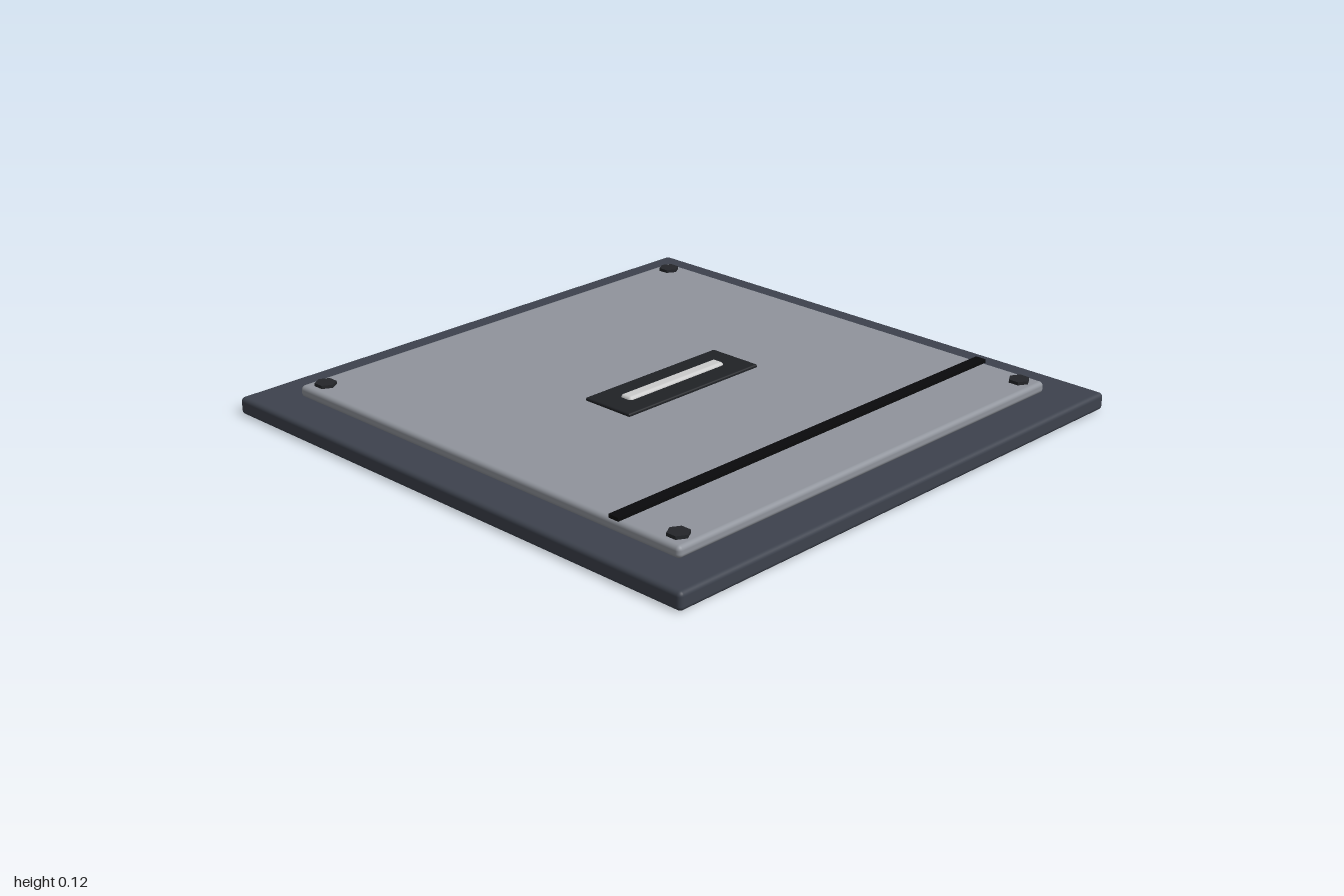
import * as THREE from 'three';
import { RoundedBoxGeometry } from 'three/addons/geometries/RoundedBoxGeometry.js';

const mat = (color) => new THREE.MeshStandardMaterial({ color });

export function createModel() {
  const model = new THREE.Group();
  model.name = 'floorHatch';

  const add = (name, geometry, material, x, y, z) => {
    const mesh = new THREE.Mesh(geometry, material);
    mesh.name = name;
    mesh.position.set(x, y, z);
    model.add(mesh);
  };
  // Rounded slab spanning bottom..top in y
  const slab = (name, w, d, bottom, top, radius, color, z = 0) =>
    add(name, new RoundedBoxGeometry(w, top - bottom, d, 3, radius), mat(color), 0, (bottom + top) / 2, z);

  // Frame and raised door panel
  slab('baseFrame', 2, 2, 0, 0.06, 0.015, 0x3d424d);
  slab('doorPanel', 1.72, 1.72, 0.06, 0.1, 0.015, 0x90949c);

  // Handle: dark backing plate with a pale grip bar
  slab('handlePlate', 0.6, 0.2, 0.09, 0.11, 0.006, 0x202226);
  slab('handleGrip', 0.44, 0.05, 0.09, 0.12, 0.012, 0xc8ccca);

  // Seam strip across the door
  add('seamStrip', new THREE.BoxGeometry(1.72, 0.012, 0.04), mat(0x0a0a0c), 0, 0.106, 0.6);

  // Hexagonal corner bolts
  const boltGeometry = new THREE.CylinderGeometry(0.036, 0.036, 0.02, 6);
  const boltMaterial = mat(0x24262a);
  boltMaterial.flatShading = true;
  for (const x of [-0.8, 0.8])
    for (const z of [-0.8, 0.8])
      add('cornerBolt', boltGeometry, boltMaterial, x, 0.101, z);

  return model;
}
